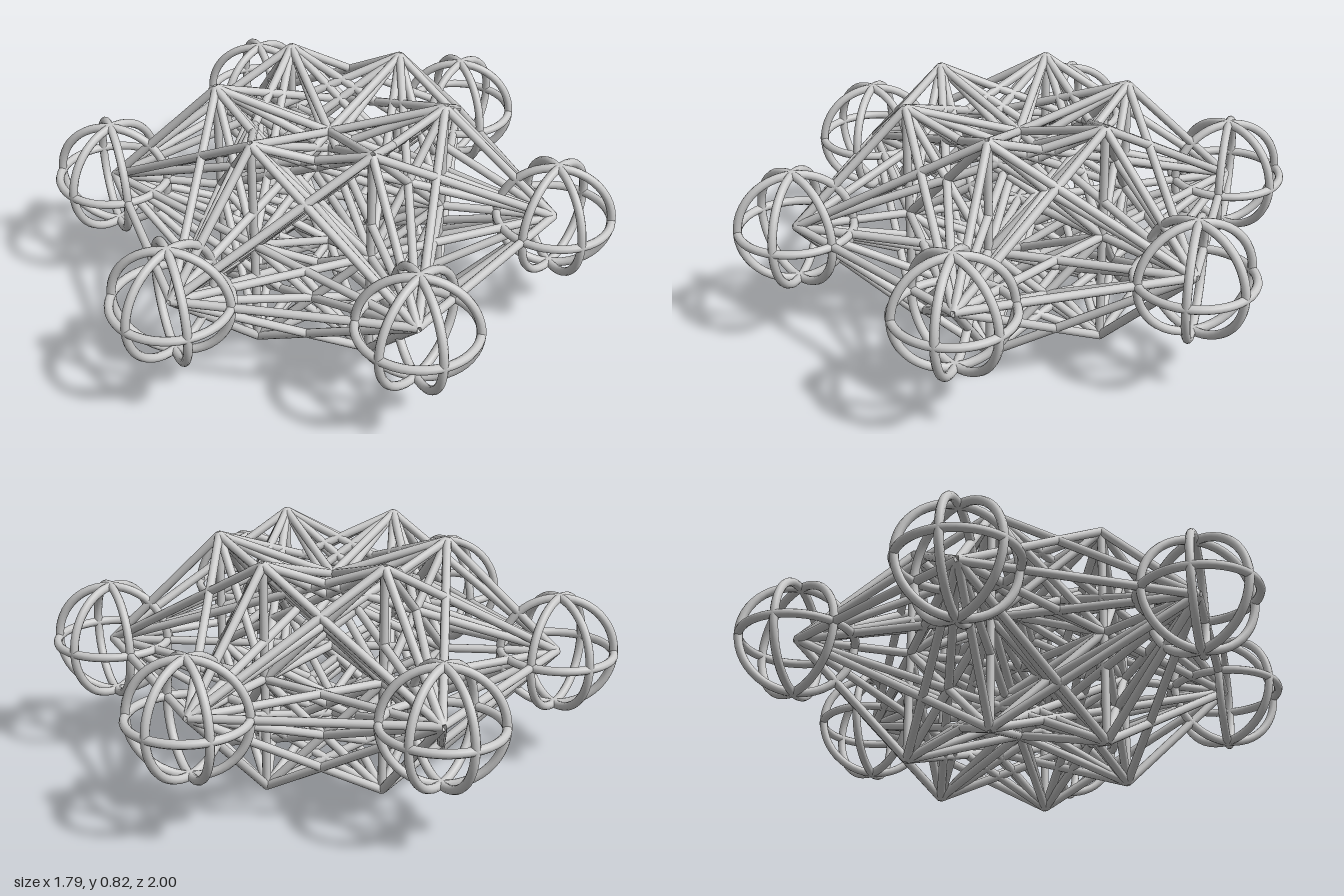
import * as THREE from 'three';

const A = 0.394;      // lattice spacing
const TUBE = 0.015;   // strut and ring thickness
const MID = 0.41;     // height of the middle plane

export function createModel() {
  const model = new THREE.Group();
  const material = new THREE.MeshStandardMaterial({ color: 0xcccccc });
  const up = new THREE.Vector3(0, 1, 0);

  // six points on a hexagon with a corner facing the front
  const hexagon = (radius, y) => Array.from({ length: 6 }, (_, i) => {
    const a = i * Math.PI / 3;
    return new THREE.Vector3(Math.sin(a) * radius, y, Math.cos(a) * radius);
  });

  function strut(parent, name, from, to) {
    const dir = to.clone().sub(from);
    const mesh = new THREE.Mesh(new THREE.CylinderGeometry(TUBE, TUBE, dir.length(), 12), material);
    mesh.name = name;
    mesh.position.copy(from).add(to).multiplyScalar(0.5);
    mesh.quaternion.setFromUnitVectors(up, dir.normalize());
    parent.add(mesh);
  }

  function group(name) {
    const g = new THREE.Group();
    g.name = name;
    model.add(g);
    return g;
  }

  const outer = hexagon(2 * A, MID);
  const inner = hexagon(A, MID);

  // flat struts joining every pair of outer nodes
  const flat = group('outerStar');
  for (let i = 0; i < 6; i++)
    for (let j = i + 1; j < 6; j++) strut(flat, 'outerStrut', outer[i], outer[j]);

  // struts fanning from the raised and lowered inner nodes to the middle plane
  for (const side of [1, -1]) {
    const fan = group(side > 0 ? 'upperLattice' : 'lowerLattice');
    for (const node of hexagon(A, MID + side * A)) {
      for (const p of outer) strut(fan, 'longStrut', node, p);
      for (const p of inner) strut(fan, 'innerStrut', node, p);
    }
  }

  // open spheres of rings around the outer nodes
  const ring = new THREE.TorusGeometry(A / 2, TUBE, 10, 48);
  for (const p of outer) {
    const cage = group('ringSphere');
    cage.position.copy(p);
    const level = new THREE.Mesh(ring, material);
    level.name = 'horizontalRing';
    level.rotation.x = Math.PI / 2;
    cage.add(level);
    for (let k = 0; k < 3; k++) {
      const upright = new THREE.Mesh(ring, material);
      upright.name = 'verticalRing';
      upright.rotation.y = Math.PI / 2 + k * Math.PI / 3;
      cage.add(upright);
    }
  }
  return model;
}
